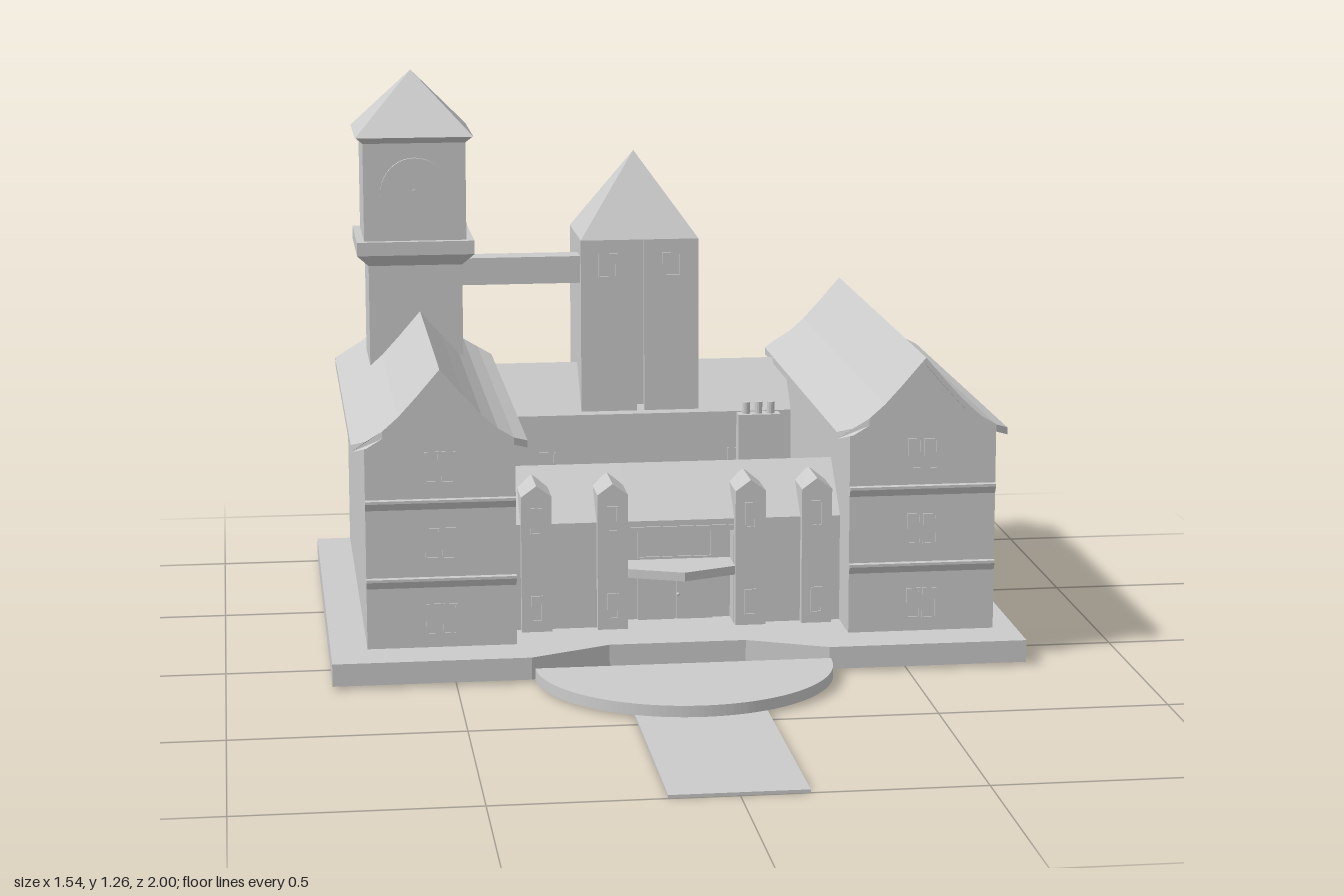
import * as THREE from 'three';

const grey = new THREE.MeshStandardMaterial({ color: 0xcccccc, flatShading: true });

export function createModel() {
  const model = new THREE.Group();
  const add = (name, geo, parent = model) => {
    const m = new THREE.Mesh(geo, grey);
    m.name = name;
    parent.add(m);
    return m;
  };
  const group = (name) => {
    const g = new THREE.Group();
    g.name = name;
    model.add(g);
    return g;
  };
  const poly = (pts) => new THREE.Shape(pts.map(([a, b]) => new THREE.Vector2(a, b)));
  const extrude = (shape, depth) =>
    new THREE.ExtrudeGeometry(shape, { depth, bevelEnabled: false, curveSegments: 32 });
  // box from its limits
  const box = (name, x0, x1, y0, y1, z0, z1, parent) =>
    add(name, new THREE.BoxGeometry(x1 - x0, y1 - y0, z1 - z0)
      .translate((x0 + x1) / 2, (y0 + y1) / 2, (z0 + z1) / 2), parent);
  // plan shape in (x, z), between two heights
  const slab = (name, shape, y0, y1, parent) =>
    add(name, extrude(shape, y1 - y0).rotateX(Math.PI / 2).translate(0, y1, 0), parent);
  // side profile in (z, y), run along x
  const prismX = (name, pts, x0, x1, parent) =>
    add(name, extrude(poly(pts), x1 - x0).rotateY(-Math.PI / 2).translate(x1, 0, 0), parent);
  // front profile in (x, y), run along z
  const prismZ = (name, pts, z0, z1, parent) =>
    add(name, extrude(poly(pts), z1 - z0).translate(0, 0, z0), parent);
  // four-sided frustum or pyramid
  const frustum = (name, cx, cz, y0, y1, w0, w1, depthRatio, parent) =>
    add(name, new THREE.CylinderGeometry(w1 / Math.SQRT2, w0 / Math.SQRT2, y1 - y0, 4)
      .rotateY(Math.PI / 4).scale(1, 1, depthRatio).translate(cx, (y0 + y1) / 2, cz), parent);
  // thin window frame with a pane, facing along z (dir = 1 or -1)
  const windowFrame = (cx, cy, w, h, z, dir, parent) => {
    const s = poly([[-w / 2, -h / 2], [w / 2, -h / 2], [w / 2, h / 2], [-w / 2, h / 2]]);
    const a = w / 2 - 0.004, b = h / 2 - 0.004;
    s.holes.push(new THREE.Path([[-a, -b], [-a, b], [a, b], [a, -b]].map((p) => new THREE.Vector2(...p))));
    add('windowFrame', extrude(s, 0.004).translate(cx, cy, dir > 0 ? z : z - 0.004), parent);
  };

  // Ground: notched plinth, half-round forecourt, path
  slab('plinth', poly([[-0.77, -1], [0.77, -1], [0.77, 0.157], [0.325, 0.157],
    [0.15, 0.075], [-0.155, 0.075], [-0.335, 0.157], [-0.77, 0.157]]), 0.01, 0.06);
  const halfDisc = (r, z) => {
    const s = new THREE.Shape();
    s.moveTo(r, z);
    s.absarc(0, z, r, 0, Math.PI, false);
    s.closePath();
    return s;
  };
  const court = halfDisc(0.328, 0.157);
  court.holes.push(new THREE.Path(halfDisc(0.16, 0.19).getPoints(32)));
  slab('forecourt', court, 0.01, 0.035);
  slab('forecourtInset', halfDisc(0.16, 0.19), 0.011, 0.029);
  box('path', -0.143, 0.14, 0.003, 0.01, 0.3, 1);

  // Two long wings with flared gable roofs
  const half = [[0, 0.7], [0.05, 0.642], [0.09, 0.598], [0.125, 0.567], [0.16, 0.546], [0.192, 0.532]];
  const T = 0.016;
  for (const cx of [-0.527, 0.54]) {
    const g = group(cx < 0 ? 'rightWing' : 'leftWing');
    const under = half.slice(0, 5).map(([d, y]) => [d, y - T / 2]);
    const W = 0.164;
    const wall = [[-W, 0.077], [W, 0.077], [W, 0.535], ...under.slice(0, 4).reverse(),
      ...under.slice(1, 4).map(([d, y]) => [-d, y]), [-W, 0.535]];
    prismZ('wingWalls', wall.map(([x, y]) => [x + cx, y]), -0.93, 0.105, g);
    const top = [...half.slice(1).reverse().map(([d, y]) => [-d, y]), ...half];
    const roof = extrude(poly([...top.map(([x, y]) => [x, y - T]), ...top.slice().reverse()]), 1.087);
    // eave corners are cut back
    const p = roof.attributes.position;
    for (let i = 0; i < p.count; i++) {
      const cut = Math.max(0, Math.abs(p.getX(i)) - 0.16);
      p.setZ(i, p.getZ(i) + (p.getZ(i) > 0.5 ? -cut : cut));
    }
    add('wingRoof', roof.translate(cx, 0, -0.962), g);
    // string courses and windows on both gable ends
    for (const [z, d] of [[0.104, 1], [-0.929, -1]]) {
      for (const y of [0.21, 0.385])
        prismX('stringCourse', [[z, y], [z + d * 0.01, y + 0.018], [z + d * 0.01, y + 0.024], [z, y + 0.026]],
          cx - W, cx + W, g);
      for (const y of [0.14, 0.31, 0.48])
        for (const s of [-1, 1]) windowFrame(cx + s * 0.018, y, 0.032, 0.07, z, d, g);
    }
  }

  // Rear range with ridge roof
  const rear = group('rearRange');
  prismX('rearRangeBody', [[-0.935, 0.077], [-0.935, 0.42], [-0.812, 0.53], [-0.7, 0.42], [-0.7, 0.077]],
    -0.365, 0.38, rear);
  for (const x of [-0.22, 0.24]) windowFrame(x, 0.3, 0.04, 0.06, -0.7, 1, rear);

  // Front range, recessed behind the entrance
  const front = group('frontRange');
  const ridge = [[-0.25, 0.077], [-0.25, 0.32], [-0.135, 0.425], [-0.012, 0.318]];
  prismX('frontRangeSide', [...ridge, [-0.012, 0.077]], -0.365, -0.105, front);
  prismX('frontRangeSide', [...ridge, [-0.012, 0.077]], 0.135, 0.38, front);
  prismX('frontRangeCentre', [...ridge, [-0.012, 0.303], [-0.07, 0.303], [-0.07, 0.077]], -0.105, 0.135, front);

  // Gabled buttresses with two slit windows each
  for (const cx of [-0.31, -0.14, 0.17, 0.32]) {
    const g = new THREE.Group();
    g.name = 'buttress';
    front.add(g);
    prismZ('buttressBody', [[-0.034, 0.077], [0.034, 0.077], [0.034, 0.385], [0, 0.41], [-0.034, 0.385]]
      .map(([x, y]) => [x + cx, y]), -0.11, 0.01, g);
    for (const y of [0.13, 0.33]) windowFrame(cx, y, 0.026, 0.06, 0.01, 1, g);
  }

  // Entrance: lintel, pointed canopy, doors and upper window
  const entrance = group('entrance');
  box('lintel', -0.105, 0.135, 0.293, 0.305, -0.07, -0.008, entrance);
  slab('canopy', poly([[-0.105, -0.07], [0.135, -0.07], [0.135, 0.012], [0.015, 0.06], [-0.105, 0.012]]),
    0.195, 0.215, entrance);
  for (const x of [-0.075, 0.012]) {
    box('door', x, x + 0.083, 0.077, 0.19, -0.07, -0.062, entrance);
    windowFrame(x + 0.0415, 0.255, 0.083, 0.075, -0.07, 1, entrance);
  }
  add('doorKnob', new THREE.SphereGeometry(0.004, 8, 6).translate(0.016, 0.135, -0.06), entrance);

  // Chimney on the courtyard side
  const chimney = group('chimney');
  box('chimneyStack', 0.18, 0.277, 0.077, 0.505, -0.282, -0.245, chimney);
  for (const x of [0.2, 0.2285, 0.257])
    add('chimneyPot', new THREE.CylinderGeometry(0.009, 0.009, 0.028, 12).translate(x, 0.518, -0.263), chimney);

  // Central tower: core, paired panels leaving a slot front and back, pyramid roof
  const tower = group('centralTower');
  box('towerCore', -0.135, 0.15, 0.077, 0.845, -0.955, -0.72, tower);
  for (const [z0, z1] of [[-0.968, -0.955], [-0.72, -0.707]]) {
    box('towerPanel', -0.135, 0, 0.077, 0.845, z0, z1, tower);
    box('towerPanel', 0.018, 0.15, 0.077, 0.845, z0, z1, tower);
  }
  frustum('towerRoof', 0.0075, -0.8375, 0.845, 1.045, 0.285, 0, 0.261 / 0.285, tower);
  for (const x of [-0.07, 0.085]) {
    windowFrame(x, 0.783, 0.046, 0.058, -0.707, 1, tower);
    windowFrame(x, 0.783, 0.046, 0.058, -0.968, -1, tower);
  }

  // Clock tower
  const clock = group('clockTower');
  const cx = -0.536, cz = -0.717;
  box('clockTowerShaft', cx - 0.11, cx + 0.11, 0.5, 0.83, cz - 0.11, cz + 0.11, clock);
  frustum('corniceFlare', cx, cz, 0.81, 0.838, 0.22, 0.275, 1, clock);
  box('cornice', cx - 0.1375, cx + 0.1375, 0.838, 0.87, cz - 0.1375, cz + 0.1375, clock);
  box('clockRoom', cx - 0.12, cx + 0.12, 0.87, 1.105, cz - 0.12, cz + 0.12, clock);
  frustum('eaveFlare', cx, cz, 1.1, 1.115, 0.24, 0.272, 1, clock);
  frustum('clockTowerRoof', cx, cz, 1.115, 1.26, 0.276, 0, 1, clock);
  const disc = (name, r, z0, z1) =>
    add(name, new THREE.CylinderGeometry(r, r, z1 - z0, 40).rotateX(Math.PI / 2)
      .translate(cx, 0.986, (z0 + z1) / 2), clock);
  disc('clockFace', 0.08, -0.6, -0.588);
  disc('clockHub', 0.007, -0.588, -0.583);

  // Bridge joining the towers
  box('bridge', -0.43, -0.13, 0.74, 0.805, -0.79, -0.725);

  return model;
}
